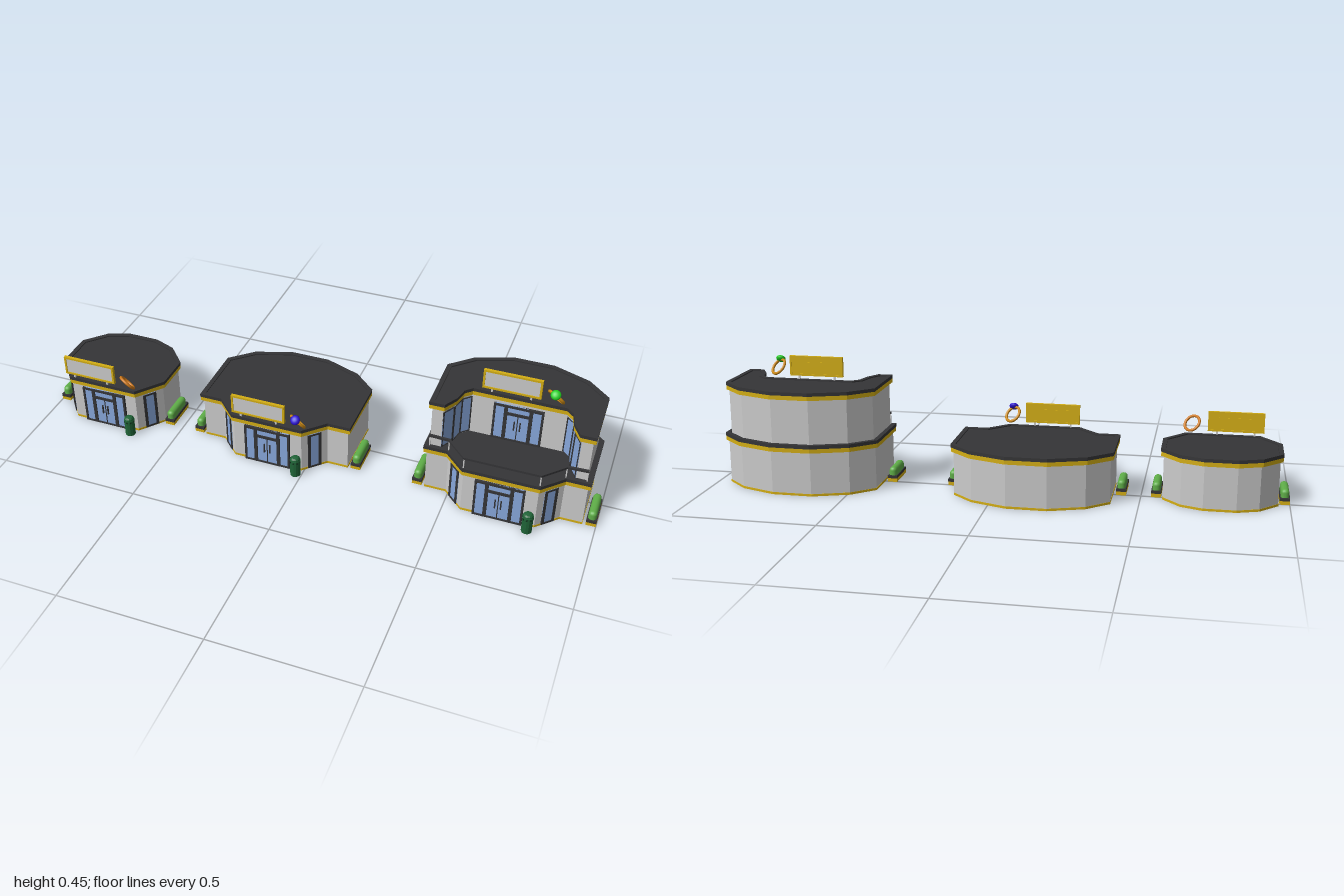
import * as THREE from 'three';
import { RoundedBoxGeometry } from 'three/addons/geometries/RoundedBoxGeometry.js';

const mat = (color, extra = {}) => new THREE.MeshStandardMaterial({ color, ...extra });
const M = {
  wall: mat(0xcccccc), gold: mat(0xd4ae14), dark: mat(0x353537), glass: mat(0x88a8dc),
  hedge: mat(0x5fae48), bin: mat(0x1f6437, { flatShading: true }), binSlot: mat(0x12351f),
  ring: mat(0xcc8a14),
};

function add(parent, name, geo, material, x = 0, y = 0, z = 0) {
  const m = new THREE.Mesh(geo, material);
  m.name = name;
  m.position.set(x, y, z);
  parent.add(m);
  return m;
}
const box = (parent, name, material, w, h, d, x, y, z) =>
  add(parent, name, new THREE.BoxGeometry(w, h, d), material, x, y, z);

function addGroup(parent, name, x, y, z) {
  const g = new THREE.Group();
  g.name = name;
  g.position.set(x, y, z);
  parent.add(g);
  return g;
}

// Mirror a right-hand outline [x, z], listed front to back, into a closed plan
const mirrorPlan = (half) => [...half, ...half.map(([x, z]) => [-x, z]).reverse()];

// Grow (d > 0) or shrink a plan with mitred corners
function offset(pts, d) {
  const n = pts.length;
  const normal = (a, b) => {
    const l = Math.hypot(b[0] - a[0], b[1] - a[1]);
    return [-(b[1] - a[1]) / l, (b[0] - a[0]) / l];
  };
  return pts.map((p, i) => {
    const a = normal(pts[(i + n - 1) % n], p), b = normal(p, pts[(i + 1) % n]);
    const k = d / (1 + a[0] * b[0] + a[1] * b[1]);
    return [p[0] + (a[0] + b[0]) * k, p[1] + (a[1] + b[1]) * k];
  });
}

// Vertical prism over a plan, optionally with a hole
function prism(parent, name, material, pts, y0, y1, hole) {
  const v = (a) => a.map(([x, z]) => new THREE.Vector2(x, -z));
  const s = new THREE.Shape(v(pts));
  if (hole) s.holes.push(new THREE.Path(v(hole)));
  const g = new THREE.ExtrudeGeometry(s, { depth: y1 - y0, bevelEnabled: false });
  g.rotateX(-Math.PI / 2);
  add(parent, name, g, material, 0, y0, 0);
}

// One storey: walls, gold cornice, dark roof with raised rim
function storey(parent, name, plan, y0, top) {
  prism(parent, name + 'Walls', M.wall, plan, y0, top - 0.02);
  prism(parent, name + 'Cornice', M.gold, offset(plan, 0.009), top - 0.027, top - 0.012);
  prism(parent, name + 'Roof', M.dark, plan, top - 0.014, top - 0.004);
  prism(parent, name + 'RoofRim', M.dark, offset(plan, 0.01), top - 0.012, top, offset(plan, -0.006));
}

// Glazed entrance with side lights and a transom
function entrance(parent, y, z, h) {
  const g = addGroup(parent, 'entrance', 0, y, z);
  box(g, 'doorGlass', M.glass, 0.16, h, 0.006, 0, h / 2, 0.001);
  for (const s of [-1, 1]) {
    box(g, 'outerJamb', M.dark, 0.007, h, 0.014, s * 0.08, h / 2, 0.001);
    box(g, 'doorPost', M.dark, 0.012, h, 0.014, s * 0.042, h / 2, 0.001);
    box(g, 'doorHandle', M.dark, 0.004, 0.035, 0.006, s * 0.01, h * 0.45, 0.006);
  }
  box(g, 'doorHead', M.dark, 0.167, 0.008, 0.014, 0, h - 0.004, 0.001);
  box(g, 'transomBar', M.dark, 0.084, 0.01, 0.014, 0, h * 0.77, 0.001);
  box(g, 'doorMeeting', M.dark, 0.003, h * 0.77, 0.01, 0, h * 0.385, 0.001);
  box(g, 'doorSill', M.dark, 0.167, 0.006, 0.013, 0, 0.003, 0.001);
}

// Framed window on the wall between two plan points, on side s, facing the front
function wallWindow(parent, s, from, to, w, y, h, frame) {
  const [a, b] = [from, to].map(([x, z]) => [s * x, z]).sort((p, q) => p[0] - q[0]);
  const g = addGroup(parent, 'angledWindow', (a[0] + b[0]) / 2, y, (a[1] + b[1]) / 2);
  g.rotation.y = -Math.atan2(b[1] - a[1], b[0] - a[0]);
  box(g, 'windowGlass', M.glass, w, h, 0.004, 0, h / 2, 0);
  for (const e of [-1, 1]) {
    box(g, 'windowJamb', M.dark, frame, h, 0.008, e * (w - frame) / 2, h / 2, 0);
    box(g, 'windowRail', M.dark, w, frame * 0.7, 0.008, 0, h / 2 + e * (h - frame * 0.7) / 2, 0);
  }
}

// Blank signboard on two posts
function signboard(parent, x, y, z) {
  const g = addGroup(parent, 'signboard', x, y, z);
  const w = 0.195, h = 0.071, mid = h / 2 + 0.014;
  box(g, 'signPanel', M.wall, w - 0.012, h - 0.012, 0.003, 0, mid, 0.001);
  box(g, 'signBack', M.gold, w - 0.012, h - 0.012, 0.003, 0, mid, -0.002);
  box(g, 'signBackPlate', M.gold, w * 0.62, h * 0.4, 0.002, 0, mid, -0.004);
  for (const s of [-1, 1]) {
    box(g, 'signFrameSide', M.gold, 0.007, h, 0.011, s * (w / 2 - 0.0035), mid, 0);
    box(g, 'signFrameEdge', M.gold, w, 0.007, 0.011, 0, mid + s * (h / 2 - 0.0035), 0);
    box(g, 'signPost', M.wall, 0.006, 0.022, 0.006, s * 0.065, 0.006, 0);
  }
}

// Tilted ring ornament
function ringOrnament(parent, x, y, z, material) {
  const g = addGroup(parent, 'ringOrnament', x, y, z);
  const across = new THREE.Vector3(0.88, -0.336, 0.336).normalize();
  const up = new THREE.Vector3(0, 1, 1).normalize();
  g.quaternion.setFromRotationMatrix(
    new THREE.Matrix4().makeBasis(across, up, across.clone().cross(up)));
  add(g, 'ringBand', new THREE.TorusGeometry(0.029, 0.005, 10, 32), material);
  return g;
}

// Flattened stone on top of a ring
function ringGem(ring, color) {
  const gem = add(ring, 'gem', new THREE.SphereGeometry(0.017, 16, 10), mat(color), 0, 0.034, 0);
  gem.scale.y = 0.6;
}

// Litter bin with a domed lid and slots
function litterBin(parent, x, z) {
  const g = addGroup(parent, 'litterBin', x, 0, z);
  const profile = [[0, 0], [0.018, 0], [0.018, 0.062], [0.0165, 0.07], [0.012, 0.075], [0, 0.077]]
    .map(([r, y]) => new THREE.Vector2(r, y));
  add(g, 'binBody', new THREE.LatheGeometry(profile, 12), M.bin);
  add(g, 'binRim', new THREE.CylinderGeometry(0.019, 0.019, 0.003, 12), M.bin, 0, 0.063, 0);
  for (let i = 0; i < 8; i++) {
    const a = (i * Math.PI) / 4;
    const slot = box(g, 'binSlot', M.binSlot, 0.006, 0.006, 0.002,
      Math.sin(a) * 0.018, 0.058, Math.cos(a) * 0.018);
    slot.rotation.y = a;
  }
}

// Hedge planter beside a wall
function planter(parent, x) {
  const z = 0.055;
  box(parent, 'planterBase', M.gold, 0.034, 0.013, 0.118, x, 0.0065, z);
  box(parent, 'planterBox', M.dark, 0.034, 0.01, 0.12, x, 0.018, z);
  add(parent, 'planterHedge', new RoundedBoxGeometry(0.028, 0.045, 0.111, 3, 0.013),
    M.hedge, x, 0.0295, z);
}

// Ground floor, entrance, planters and bin shared by all three buildings
function shop(parent, name, x, half, planterX, binX) {
  const g = addGroup(parent, name, x, 0, 0);
  const plan = mirrorPlan(half);
  prism(g, 'plinth', M.gold, offset(plan, 0.001), 0, 0.008);
  storey(g, 'groundFloor', plan, 0.007, 0.183);
  entrance(g, 0, 0.186, 0.147);
  for (const s of [-1, 1]) {
    wallWindow(g, s, half[0], half[1], 0.05, 0.003, 0.144, 0.01);
    planter(g, s * planterX);
  }
  litterBin(g, binX, 0.21);
  return g;
}

export function createModel() {
  const root = new THREE.Group();
  root.name = 'shopRow';

  const smallHalf = [[0.125, 0.185], [0.193, 0.1], [0.193, -0.022], [0.13, -0.09], [0.055, -0.118]];
  const largeHalf = [[0.125, 0.185], [0.195, 0.115], [0.27, 0.115], [0.27, -0.107],
    [0.195, -0.175], [0.07, -0.22]];

  const small = shop(root, 'smallShop', -0.7675, smallHalf, 0.2155, 0.105);
  signboard(small, -0.045, 0.181, 0.189);
  ringOrnament(small, 0.108, 0.218, 0.197, mat(0xcf7a1c));

  const medium = shop(root, 'wideShop', -0.1335, largeHalf, 0.298, 0.112);
  signboard(medium, -0.03, 0.181, 0.189);
  ringGem(ringOrnament(medium, 0.118, 0.22, 0.195, M.ring), 0x2a0fd0);

  const tall = shop(root, 'twoStoreyShop', 0.685, largeHalf, 0.298, 0.105);

  // Upper storey with a recessed front and curved glazing
  const recess = [[0.16, -0.012], [0.188, 0.015], [0.2, 0.065], [0.225, 0.109]];
  const upperHalf = [...recess, [0.262, 0.109], [0.262, -0.1], [0.19, -0.167], [0.067, -0.212]];
  storey(tall, 'upperFloor', mirrorPlan(upperHalf), 0.178, 0.365);
  entrance(tall, 0.18, -0.011, 0.143);
  for (const s of [-1, 1])
    for (let i = 0; i < 3; i++) {
      const [a, b] = [recess[i], recess[i + 1]];
      wallWindow(tall, s, a, b, Math.hypot(b[0] - a[0], b[1] - a[1]), 0.183, 0.143, 0.004);
    }
  signboard(tall, -0.03, 0.363, -0.006);
  ringGem(ringOrnament(tall, 0.115, 0.404, 0.003, M.ring), 0x22cc22);

  // Balcony railing
  const rail = mirrorPlan([[0.126, 0.188], [0.195, 0.117], [0.262, 0.114]]);
  const run = [...rail.slice(3), ...rail.slice(0, 3)];
  run.forEach(([x, z], i) => {
    box(tall, 'railPost', M.wall, 0.004, 0.042, 0.004, x, 0.2, z);
    if (i === 0) return;
    const [px, pz] = run[i - 1];
    const bar = box(tall, 'handrail', M.dark, Math.hypot(x - px, z - pz) + 0.005, 0.008, 0.008,
      (x + px) / 2, 0.224, (z + pz) / 2);
    bar.rotation.y = -Math.atan2(z - pz, x - px);
  });
  return root;
}
